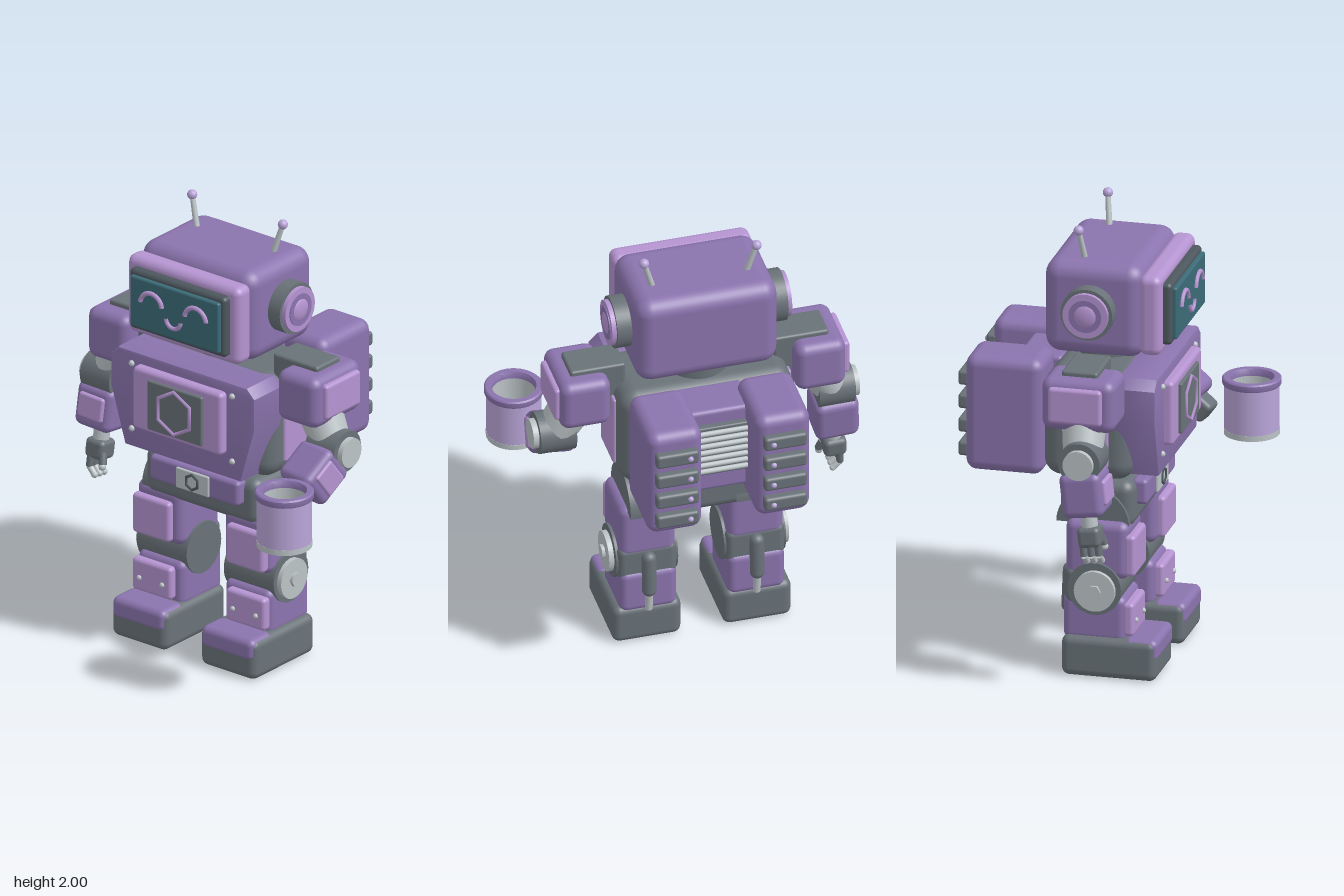
import * as THREE from 'three';
import { RoundedBoxGeometry } from 'three/addons/geometries/RoundedBoxGeometry.js';
import { toCreasedNormals } from 'three/addons/utils/BufferGeometryUtils.js';

const paint = (name, color, side = THREE.FrontSide) => {
  const m = new THREE.MeshStandardMaterial({ color, side });
  m.name = name;
  return m;
};

export function createModel() {
  const purple = paint('purple', 0x8b74ae);
  const lilac = paint('lilac', 0xb594d1);
  const dark = paint('dark grey', 0x697278);
  const steel = paint('light grey', 0xbbc3c6, THREE.DoubleSide);
  const teal = paint('screen teal', 0x3c6b78);
  const bezel = paint('bezel grey', 0x4c575d);
  const lavender = paint('lavender', 0xb9a5d8);

  const robot = new THREE.Group();
  robot.name = 'robot';
  robot.position.x = -0.042;

  // Helpers: every part is placed by its centre
  const add = (parent, name, geo, mat, x = 0, y = 0, z = 0) => {
    const m = new THREE.Mesh(geo, mat);
    m.name = name;
    m.position.set(x, y, z);
    parent.add(m);
    return m;
  };
  const box = (p, name, mat, w, h, d, x, y, z, r = 0.02) =>
    add(p, name, new RoundedBoxGeometry(w, h, d, 4, Math.min(r, w / 2.01, h / 2.01, d / 2.01)), mat, x, y, z);
  const ball = (p, name, mat, r, x, y, z) => add(p, name, new THREE.SphereGeometry(r, 18, 12), mat, x, y, z);
  const disc = (p, name, mat, r, len, x, y, z, sides = 36, r2 = r) =>
    add(p, name, new THREE.CylinderGeometry(r2, r, len, sides), mat, x, y, z);
  const axleX = (p, name, mat, r, len, x, y, z, sides = 36) => {
    const m = disc(p, name, mat, r, len, x, y, z, sides);
    m.rotation.z = Math.PI / 2;
    return m;
  };
  const rod = (p, name, mat, a, b, r, r2 = r) => {
    const A = new THREE.Vector3(...a), B = new THREE.Vector3(...b), v = B.clone().sub(A);
    const c = A.clone().add(B).multiplyScalar(0.5);
    const m = disc(p, name, mat, r, v.length(), c.x, c.y, c.z, 24, r2);
    m.quaternion.setFromUnitVectors(new THREE.Vector3(0, 1, 0), v.normalize());
    return m;
  };
  const arc = (p, name, r, tube, angle, x, y, z, turn = 0) => {
    const m = add(p, name, new THREE.TorusGeometry(r, tube, 8, 24, angle), lilac, x, y, z);
    m.rotation.z = turn;
    return m;
  };
  const hexRing = (p, name, mat, r, tube, x, y, z) => {
    const m = add(p, name, new THREE.TorusGeometry(r, tube, 6, 6), mat, x, y, z);
    m.rotation.z = Math.PI / 6;
    return m;
  };

  // Head with face plate and screen
  const head = new THREE.Group();
  head.name = 'head';
  robot.add(head);
  box(head, 'skull', purple, 0.63, 0.42, 0.44, 0, 1.64, 0.01, 0.07);
  box(head, 'facePlate', lilac, 0.62, 0.36, 0.1, 0, 1.633, 0.26, 0.035);
  box(head, 'screenBezel', bezel, 0.53, 0.28, 0.06, 0, 1.635, 0.318, 0.02);
  box(head, 'screen', teal, 0.49, 0.235, 0.03, 0, 1.635, 0.352, 0.01);
  for (const s of [-1, 1]) arc(head, 'smilingEye', 0.06, 0.011, Math.PI * 0.9, s * 0.122, 1.64, 0.37, Math.PI * 0.05);
  arc(head, 'mouth', 0.04, 0.01, Math.PI, 0, 1.61, 0.37, Math.PI);
  for (const s of [-1, 1]) {
    axleX(head, 'earBase', dark, 0.115, 0.08, s * 0.34, 1.645, 0);
    axleX(head, 'earRing', lilac, 0.1, 0.03, s * 0.385, 1.645, 0);
    axleX(head, 'earInset', purple, 0.073, 0.006, s * 0.401, 1.645, 0);
    ball(head, 'earDome', lilac, 0.055, s * 0.395, 1.645, 0).scale.x = 0.35;
    rod(head, 'antenna', steel, [s * 0.21, 1.84, -0.05], [s * 0.25, 1.98, -0.067], 0.014, 0.011);
    ball(head, 'antennaTip', lavender, 0.022, s * 0.25, 1.979, -0.067);
  }

  // Torso
  disc(robot, 'neck', dark, 0.14, 0.12, 0, 1.4, 0);
  box(robot, 'torso', dark, 0.77, 0.48, 0.4, 0, 1.13, 0.0, 0.08);
  const chest = new THREE.Shape([[-0.35, 1.355], [-0.385, 1.32], [-0.385, 1.18], [-0.31, 0.93],
    [0.31, 0.93], [0.385, 1.18], [0.385, 1.32], [0.35, 1.355]].reverse().map(p => new THREE.Vector2(...p)));
  add(robot, 'chestPlate', toCreasedNormals(new THREE.ExtrudeGeometry(chest,
    { depth: 0.17, bevelSize: 0.012, bevelThickness: 0.012, bevelSegments: 2 }), 0.6), purple, 0, 0, 0.127);
  box(robot, 'chestPanel', lilac, 0.49, 0.29, 0.06, 0, 1.175, 0.32, 0.02);
  box(robot, 'chestInset', dark, 0.3, 0.23, 0.03, 0, 1.17, 0.35, 0.008);
  hexRing(robot, 'chestHexRim', lilac, 0.1, 0.009, 0, 1.17, 0.366);
  for (const s of [-1, 1]) {
    for (const y of [1.31, 1.005]) ball(robot, 'chestRivet', steel, 0.014, s * 0.277, y, 0.31);
    box(robot, 'sidePanel', lilac, 0.03, 0.34, 0.2, s * 0.383, 1.13, 0, 0.012);
  }

  // Waist and pelvis
  disc(robot, 'waist', steel, 0.15, 0.12, 0, 0.89, 0.01, 36, 0.17);
  box(robot, 'pelvis', dark, 0.63, 0.215, 0.33, 0, 0.763, 0.025, 0.05);
  box(robot, 'belt', purple, 0.49, 0.115, 0.07, 0, 0.808, 0.2, 0.02);
  box(robot, 'buckle', steel, 0.18, 0.095, 0.02, 0, 0.805, 0.234, 0.006);
  hexRing(robot, 'buckleHexRim', bezel, 0.035, 0.007, 0, 0.805, 0.244);

  // Backpack: two tanks joined by a ribbed core
  box(robot, 'packCore', purple, 0.3, 0.42, 0.2, 0, 1.15, -0.265, 0.02);
  box(robot, 'packCooler', dark, 0.25, 0.25, 0.04, 0, 1.17, -0.375, 0.008);
  for (let i = 0; i < 7; i++) axleX(robot, 'coolerRib', steel, 0.012, 0.24, 0, 1.07 + i * 0.033, -0.398, 12);
  for (const s of [-1, 1]) {
    box(robot, 'packTank', purple, 0.245, 0.525, 0.345, s * 0.24, 1.143, -0.373, 0.05);
    for (let i = 0; i < 4; i++) {
      const y = 0.97 + i * 0.107;
      box(robot, 'packVent', dark, 0.19, 0.066, 0.05, s * 0.24, y, -0.556, 0.015);
      ball(robot, 'ventStud', lavender, 0.013, s * 0.185, y, -0.581);
    }
  }

  // Legs
  for (const s of [-1, 1]) {
    const leg = new THREE.Group();
    leg.name = s < 0 ? 'rightLeg' : 'leftLeg';
    leg.position.x = s * 0.24;
    robot.add(leg);
    const hip = add(leg, 'hipDisc', new THREE.CylinderGeometry(0.16, 0.16, 0.19, 36, 1, false, 0, Math.PI), dark, s * -0.005, 0.68, 0.015);
    hip.rotation.z = Math.PI / 2;
    box(leg, 'thigh', purple, 0.25, 0.26, 0.28, 0, 0.57, 0.04, 0.04);
    box(leg, 'thighPlate', lilac, 0.205, 0.185, 0.05, s * 0.018, 0.553, 0.185, 0.018);
    axleX(leg, 'knee', dark, 0.118, 0.275, 0, 0.4, 0.035);
    box(leg, 'kneeBack', dark, 0.26, 0.17, 0.16, 0, 0.4, -0.02, 0.03);
    axleX(leg, 'kneeCap', steel, 0.09, 0.03, s * 0.145, 0.395, 0.04);
    axleX(leg, 'kneeNut', steel, 0.032, 0.02, s * 0.164, 0.395, 0.04, 6);
    box(leg, 'shin', purple, 0.255, 0.21, 0.28, 0, 0.26, 0.03, 0.035);
    box(leg, 'shinPlate', lilac, 0.215, 0.15, 0.05, s * 0.018, 0.265, 0.18, 0.018);
    for (const t of [-1, 1]) ball(leg, 'shinRivet', steel, 0.012, s * 0.018 + t * 0.063, 0.255, 0.205);
    const strut = add(leg, 'calfStrut', new THREE.CapsuleGeometry(0.032, 0.16, 6, 16), dark, 0, 0.35, -0.11);
    strut.rotation.x = 0.04;
    rod(leg, 'strutRod', steel, [0, 0.16, -0.1], [0, 0.27, -0.115], 0.018);
    box(leg, 'foot', dark, 0.305, 0.182, 0.42, s * 0.005, 0.091, 0.1, 0.035);
    box(leg, 'toeCap', purple, 0.29, 0.1, 0.15, s * 0.005, 0.137, 0.24, 0.03);
  }

  // Arms: the forearm group hangs down -y from the elbow
  for (const s of [-1, 1]) {
    const arm = new THREE.Group();
    arm.name = s < 0 ? 'rightArm' : 'leftArm';
    robot.add(arm);
    box(arm, 'shoulderAxle', dark, 0.245, 0.25, 0.16, s * 0.452, 1.33, 0.02, 0.012);
    box(arm, 'shoulder', purple, 0.225, 0.235, 0.325, s * 0.523, 1.315, 0.025, 0.045);
    box(arm, 'shoulderPlate', lilac, 0.04, 0.16, 0.235, s * 0.637, 1.32, 0.018, 0.015);
    rod(arm, 'upperArm', steel, [s * 0.52, 1.25, 0.03], [s * 0.61, 1.09, 0.045], 0.1, 0.085);
    axleX(arm, 'elbow', dark, 0.093, 0.16, s * 0.62, 1.08, 0.05);
    axleX(arm, 'elbowCap', steel, 0.066, 0.03, s * 0.71, 1.08, 0.05);

    const fore = new THREE.Group();
    fore.name = 'forearm';
    fore.position.set(s * 0.62, 1.08, 0.045);
    fore.rotation.order = 'YXZ';
    fore.rotation.set(s > 0 ? -0.93 : -0.12, s > 0 ? -0.15 : 0, s > 0 ? 0 : -0.04);
    arm.add(fore);
    const k = s > 0 ? 0.07 : 0; // the gripping hand sits closer to the wrist
    box(fore, 'forearmShell', purple, 0.195, 0.2, 0.185, 0, -0.145, 0, 0.035);
    const plate = new THREE.Group();
    plate.name = 'forearmPlateMount';
    plate.rotation.y = s > 0 ? Math.PI / 2 : 0;
    fore.add(plate);
    box(plate, 'forearmPlate', lilac, 0.135, 0.11, 0.03, 0, -0.14, 0.093, 0.012);
    disc(fore, 'wrist', steel, 0.036, 0.1, 0, -0.27 + k, 0, 24);
    box(fore, 'palm', dark, 0.1, 0.09, 0.1, 0, -0.345 + k, 0, 0.022);
    if (s < 0) {
      for (const z of [-0.033, 0, 0.033]) {
        rod(fore, 'finger', dark, [-0.02, -0.37, z], [-0.02, -0.43, z], 0.016);
        rod(fore, 'fingertip', steel, [-0.02, -0.43, z], [0.012, -0.46, z], 0.014);
        ball(fore, 'fingerEnd', steel, 0.015, 0.012, -0.46, z);
      }
      rod(fore, 'thumb', dark, [0.04, -0.35, 0.03], [0.055, -0.4, 0.04], 0.017);
      ball(fore, 'thumbEnd', steel, 0.017, 0.053, -0.41, 0.04);
    }
  }

  // Cup held in the left hand
  const cup = new THREE.Group();
  cup.name = 'cup';
  cup.position.set(0.684, 0, 0.458);
  robot.add(cup);
  add(cup, 'cupBody', new THREE.CylinderGeometry(0.119, 0.119, 0.21, 40, 1, true), lavender, 0, 0.905, 0);
  add(cup, 'cupInside', new THREE.CylinderGeometry(0.097, 0.097, 0.2, 40, 1, true), steel, 0, 0.92, 0);
  disc(cup, 'cupFloor', steel, 0.097, 0.01, 0, 0.825, 0, 40);
  disc(cup, 'cupBase', steel, 0.12, 0.025, 0, 0.793, 0, 40);
  const rim = [[0.094, 1.005], [0.125, 1.005], [0.128, 1.012], [0.128, 1.032], [0.122, 1.038], [0.098, 1.038], [0.094, 1.032], [0.094, 1.005]];
  add(cup, 'cupRim', toCreasedNormals(new THREE.LatheGeometry(rim.map(p => new THREE.Vector2(...p)), 40), 0.7), purple);

  const model = new THREE.Group();
  model.name = 'model';
  model.add(robot);
  return model;
}
